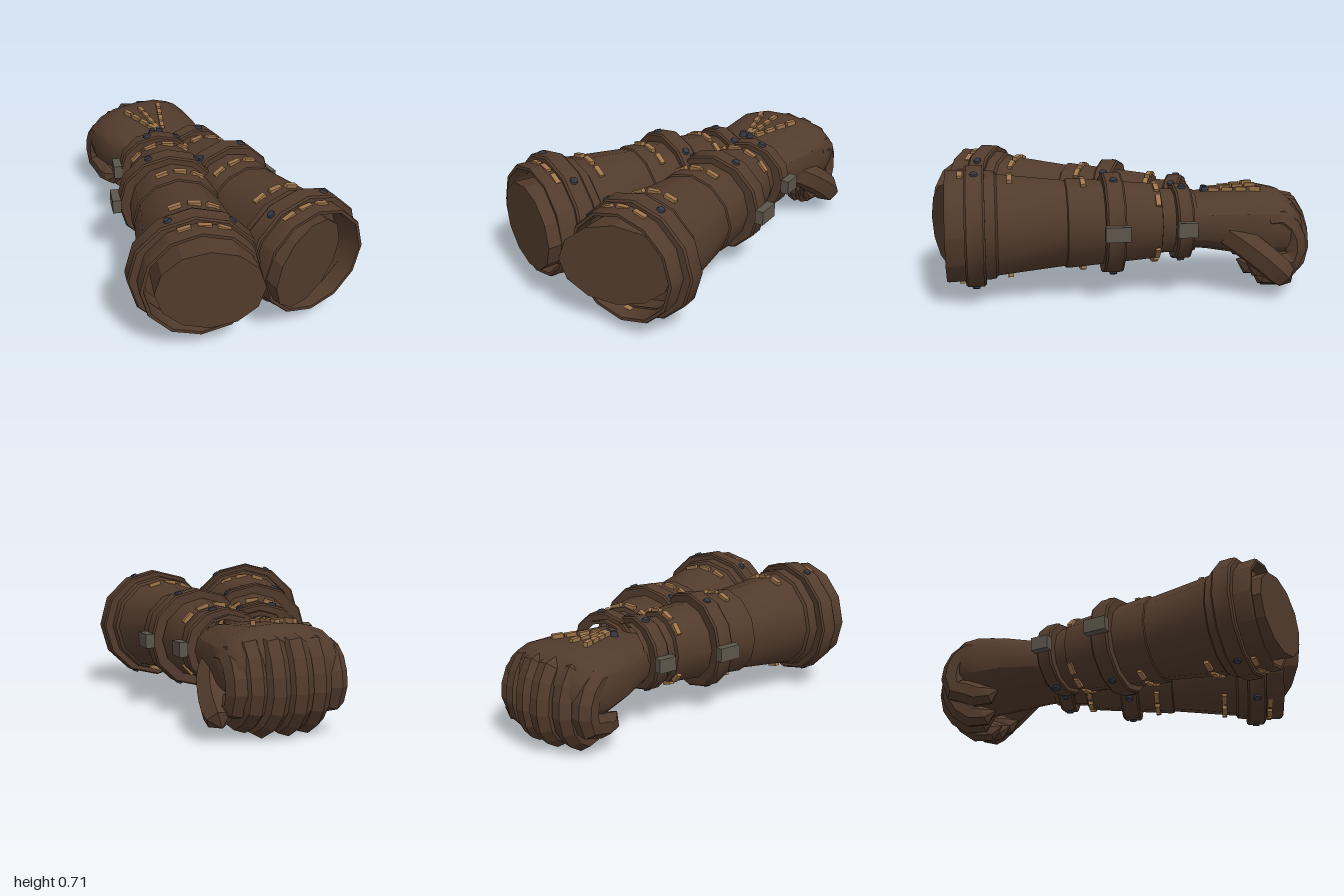
import * as THREE from 'three';
import { toCreasedNormals } from 'three/addons/utils/BufferGeometryUtils.js';

const SIDES = 12;
const mat = (name, color) => Object.assign(new THREE.MeshStandardMaterial({ color }), { name });

export function createModel() {
  const leather = mat('brown leather', 0x523b2c);
  const thread = mat('tan thread', 0x9e754b);
  const rivetMetal = mat('dark rivet', 0x343843);
  const buckleMetal = mat('grey buckle', 0x5c554a);

  const add = (parent, name, geometry, material) => {
    const mesh = new THREE.Mesh(geometry, material);
    mesh.name = name;
    parent.add(mesh);
    return mesh;
  };
  const facet = (geometry) => {
    const g = geometry.index ? geometry.toNonIndexed() : geometry;
    g.computeVertexNormals();
    return g;
  };
  // Turned leather around the arm axis: points are [radius, z], z rising
  const turned = (points, wide) => toCreasedNormals(
    new THREE.LatheGeometry(points.map(([r, z]) => new THREE.Vector2(r, z)), SIDES)
      .rotateX(Math.PI / 2).scale(wide, 1, 1), 0.62);

  // Places a small part on the sleeve; angle 0 is on top, PI underneath
  const onSleeve = (mesh, angle, radius, depth, wide) => {
    mesh.position.set(Math.sin(angle) * radius * wide, Math.cos(angle) * radius, -depth);
    mesh.rotation.z = -angle;
  };

  // One flared gauntlet: cuff mouth at its origin, wrist toward -z
  function gauntlet(name, side, capTilt, capRise) {
    const g = new THREE.Group();
    g.name = name;

    add(g, 'sleeve', turned([
      [0.165, -1.27], [0.172, -1.09], [0.194, -1.085], [0.2, -1.06], [0.237, -0.62], [0.234, -0.605],
      [0.226, -0.6], [0.265, -0.255], [0.28, -0.245], [0.284, -0.22],
      [0.292, -0.01], [0.288, 0], [0.272, 0], [0.266, -0.18], [0, -0.18],
    ], 1.02), leather);

    // Arm lining with a slanted end
    const lining = new THREE.CylinderGeometry(0.262, 0.255, 0.18, SIDES).rotateX(Math.PI / 2);
    lining.scale(1, 0.82, 1).translate(0, 0, -0.09);
    const p = lining.attributes.position;
    for (let i = 0; i < p.count; i++) {
      if (p.getZ(i) > -0.01) p.setZ(i, capRise - side * capTilt * p.getX(i));
    }
    add(g, 'armLining', facet(lining), leather).position.x = -0.03 * side;

    // Straps: depth, radius, width, widening, outer and inner rivet angles
    const straps = [
      [0.145, 0.315, 0.1, 1.04, 0.4, -0.62], [0.84, 0.264, 0.1, 1.04, 0.4, -0.6],
      [1.2, 0.2, 0.085, 1.1, 0.26, -0.55],
    ];
    straps.forEach(([d, r, w, wide, outer, inner], i) => {
      const band = new THREE.Group();
      band.name = 'strapBand';
      band.position.x = 0.013 * side;
      g.add(band);
      add(band, 'strap', turned([
        [r - 0.06, -d - w / 2], [r - 0.008, -d - w / 2], [r, -d - w / 2 + 0.01],
        [r, -d + w / 2 - 0.01], [r - 0.008, -d + w / 2], [r - 0.06, -d + w / 2],
      ], wide), leather);
      for (const angle of [outer, inner, Math.PI - outer, Math.PI - inner]) {
        const rivet = add(band, 'rivet', new THREE.CylinderGeometry(0.017, 0.026, 0.022, 8), rivetMetal);
        onSleeve(rivet, angle * side, r * 0.975, d, wide);
      }
      if (i > 0) {
        const tab = add(band, 'strapTab', new THREE.BoxGeometry(0.07, 0.05, w * 0.9), leather);
        tab.position.set(side * (r * wide - 0.01), 0, -d);
        const buckle = add(band, 'buckle', new THREE.BoxGeometry(0.046, 0.075, w * 1.6 - 0.036), buckleMetal);
        buckle.position.set(side * (r * wide + 0.01), 0, -d);
      }
    });

    // Rows of stitches above and below: depth, radius, half count
    for (const [d, r, n] of [[0.075, 0.28, 1], [0.32, 0.256, 1], [0.69, 0.229, 1], [1.065, 0.197, 2]]) {
      for (const base of [0, Math.PI]) {
        for (let k = -n; k <= n; k++) {
          const stitch = add(g, 'stitch', new THREE.BoxGeometry(0.066, 0.028, 0.026), thread);
          onSleeve(stitch, base + (k * 0.094 - side * 0.025 * Math.cos(base)) / r, r * 0.99, d, 1.02);
        }
      }
    }
    return g;
  }

  const model = new THREE.Group();
  model.name = 'pairOfGauntlets';

  const left = gauntlet('leftGauntlet', 1, 0.36, -0.005);
  left.position.set(0.275, 0.37, 0.915);
  left.rotation.y = 0.015;
  const right = gauntlet('rightGauntlet', -1, 0.08, 0.05);
  right.position.set(-0.325, 0.4, 0.845);
  right.rotation.set(-0.015, -0.335, 0);
  model.add(left, right);

  // Closed hand: palm lofted through oval sections [z, centre x, half width, top, bottom]
  const hand = new THREE.Group();
  hand.name = 'hand';
  model.add(hand);
  const sections = [
    [-0.3, 0.19, 0.24, 0.49, 0.23], [-0.42, 0.185, 0.27, 0.505, 0.22], [-0.6, 0.18, 0.305, 0.525, 0.19],
    [-0.75, 0.185, 0.315, 0.535, 0.16], [-0.83, 0.188, 0.3, 0.518, 0.17], [-0.89, 0.19, 0.26, 0.465, 0.2],
    [-0.92, 0.19, 0.2, 0.4, 0.26],
  ];
  const N = 16, verts = [], faces = [];
  const squash = (v) => Math.sign(v) * Math.abs(v) ** 0.8;
  for (const [z, xc, w, top, bottom] of sections) {
    for (let j = 0; j < N; j++) {
      const a = (j / N) * Math.PI * 2;
      verts.push(xc + w * squash(Math.cos(a)), (top + bottom) / 2 + (top - bottom) / 2 * squash(Math.sin(a)), z);
    }
  }
  const last = (sections.length - 1) * N;
  for (let j = 0; j < N; j++) {
    const k = (j + 1) % N;
    for (let i = 0; i < last; i += N) {
      faces.push(i + j, i + N + j, i + k, i + k, i + N + j, i + N + k);
    }
    if (j > 0 && j < N - 1) faces.push(0, j, k, last, last + k, last + j);
  }
  const palm = new THREE.BufferGeometry();
  palm.setAttribute('position', new THREE.Float32BufferAttribute(verts, 3));
  palm.setIndex(faces);
  add(hand, 'palm', toCreasedNormals(palm, 0.6), leather);

  // Faceted digit: a tube along a curve, closing at both ends
  function digit(name, points, radius, R) {
    const path = new THREE.CatmullRomCurve3(points.map((q) => new THREE.Vector3(...q)));
    const T = 10;
    const tube = new THREE.TubeGeometry(path, T, radius, R);
    const pos = tube.attributes.position, v = new THREE.Vector3();
    for (let i = 0; i <= T; i++) {
      const c = path.getPointAt(i / T);
      const s = i === 0 || i === T ? 0.02 : i === T - 1 ? 0.85 : 1;
      for (let j = 0; j <= R; j++) {
        const n = i * (R + 1) + j;
        v.fromBufferAttribute(pos, n).sub(c).multiplyScalar(s).add(c);
        pos.setXYZ(n, v.x, v.y, v.z);
      }
    }
    add(hand, name, facet(tube), leather);
  }
  // Fingers: x at knuckle, foremost z, lowest y, x at tip, knuckle height
  const fingers = [
    [-0.05, -0.93, 0.08, -0.04, 0.4], [0.05, -0.96, 0.0, 0.06, 0.44], [0.16, -0.998, 0.005, 0.18, 0.45],
    [0.265, -0.985, 0.005, 0.31, 0.45], [0.36, -0.955, 0.03, 0.38, 0.435], [0.425, -0.92, 0.08, 0.43, 0.395],
  ];
  for (const [x, z, y, tip, top] of fingers) {
    digit('finger', [
      [x, top - 0.02, z + 0.26], [x, top, z + 0.14], [x, 0.32, z + 0.07], [x, 0.19, z + 0.07],
      [(x + tip) / 2, y + 0.09, z + 0.14], [tip, y + 0.065, z + 0.22], [tip, y + 0.1, z + 0.31],
    ], 0.067, 7);
  }
  digit('thumb', [[0.36, 0.35, -0.48], [0.44, 0.29, -0.58], [0.49, 0.19, -0.71], [0.495, 0.08, -0.83]], 0.078, 6);

  // Stitches fanning over the back of the hand: [start x, end x]
  for (const [x0, x1] of [[0.13, 0.08], [0.155, 0.165], [0.195, 0.28]]) {
    for (let i = 0; i < 4; i++) {
      const t = i / 3;
      const stitch = add(hand, 'handStitch', new THREE.BoxGeometry(0.024, 0.03, 0.058), thread);
      stitch.position.set(x0 + (x1 - x0) * t, 0.514 + 0.018 * t, -0.485 - 0.2 * t);
      stitch.rotation.y = Math.atan2(x0 - x1, 0.2);
    }
  }
  for (const x of [0.11, 0.155]) {
    add(hand, 'handRivet', new THREE.CylinderGeometry(0.015, 0.024, 0.034, 8), rivetMetal).position.set(x, 0.512, -0.445);
  }
  return model;
}
